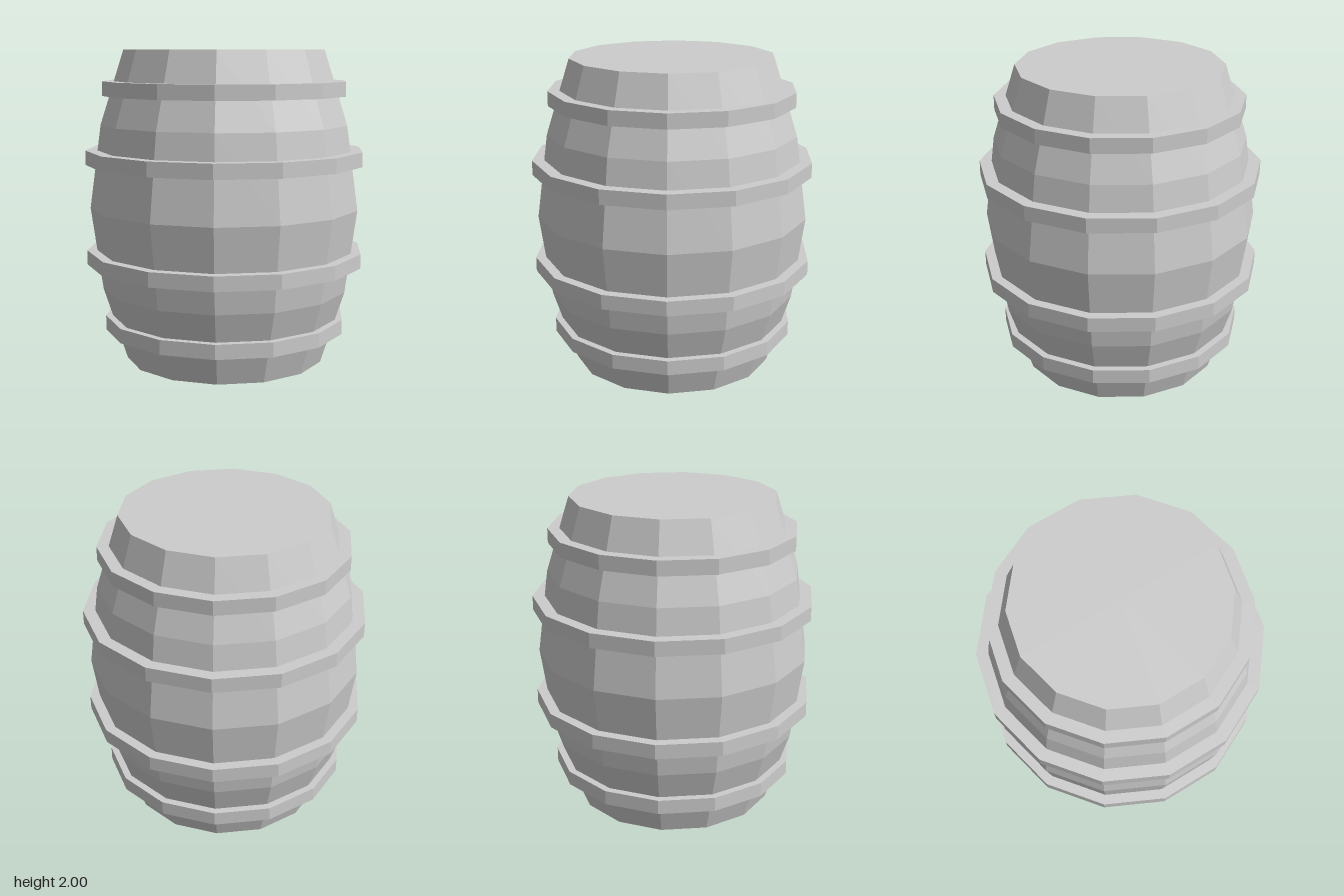
import * as THREE from 'three';

const SIDES = 14;

// Faceted ring or solid turned from [radius, height] pairs, with a corner on the x axis
function turned(name, profile, material) {
  const points = profile.map(([r, y]) => new THREE.Vector2(r, y));
  const geometry = new THREE.LatheGeometry(points, SIDES, Math.PI / 2);
  const mesh = new THREE.Mesh(geometry, material);
  mesh.name = name;
  return mesh;
}

export function createModel() {
  const barrel = new THREE.Group();
  barrel.name = 'barrel';

  const grey = new THREE.MeshStandardMaterial({ color: 0xcccccc, flatShading: true });
  grey.name = 'light grey';

  // Bulging body with closed ends
  barrel.add(turned('body', [
    [0, 0], [0.645, 0], [0.795, 0.47], [0.868, 1], [0.795, 1.53], [0.645, 2], [0, 2],
  ], grey));

  // Four hoops, mirrored about the middle; inner edges are sunk into the body
  const hoops = [
    { name: 'endHoop', offset: 0.757, outer: 0.782, inner: 0.69 },
    { name: 'middleHoop', offset: 0.322, outer: 0.894, inner: 0.8 },
  ];
  const half = 0.046;
  for (const { name, offset, outer, inner } of hoops) {
    for (const side of [-1, 1]) {
      const y = 1 + side * offset;
      barrel.add(turned((side < 0 ? 'lower ' : 'upper ') + name, [
        [inner, y - half], [outer, y - half], [outer, y + half], [inner, y + half],
      ], grey));
    }
  }

  return barrel;
}
